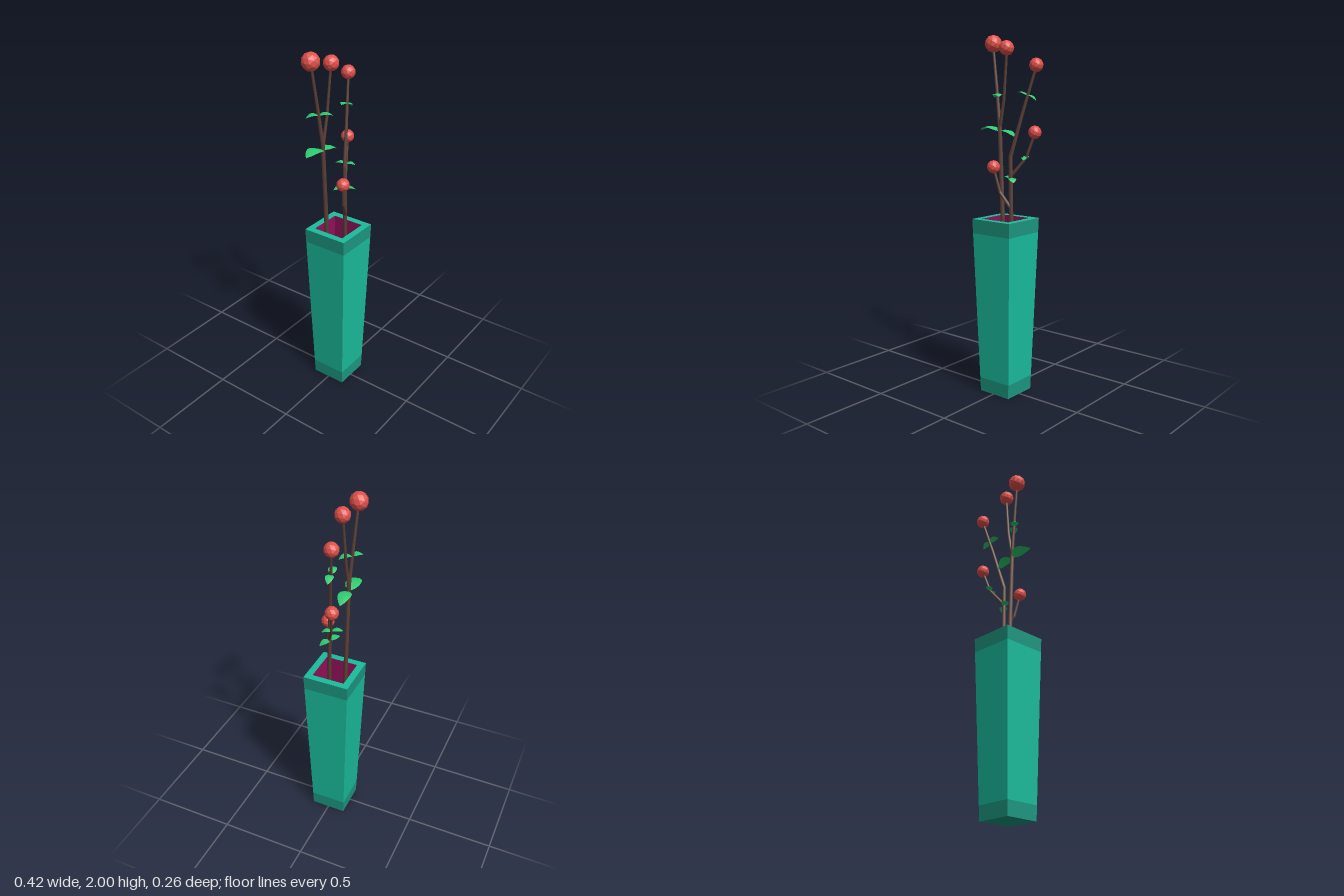
import * as THREE from 'three';

const V = (p) => new THREE.Vector3(...p);
const mat = (name, color, extra = {}) =>
  Object.assign(new THREE.MeshStandardMaterial({ color, ...extra }), { name });

export function createModel() {
  const model = new THREE.Group();
  model.name = 'vaseWithBranches';
  const teal = mat('teal', 0x1abc9c, { flatShading: true });
  const darkTeal = mat('darkTeal', 0x1c9780, { flatShading: true });
  const purple = mat('purple', 0x8e1058, { flatShading: true, side: THREE.DoubleSide });
  const bark = mat('bark', 0x5d4037);
  const leafGreen = mat('leafGreen', 0x2ecc71, { side: THREE.DoubleSide });
  const red = mat('red', 0xe0504a, { flatShading: true });

  const add = (parent, name, geo, material) => {
    const mesh = new THREE.Mesh(geo, material);
    mesh.name = name;
    parent.add(mesh);
    return mesh;
  };

  // Tapered square vase
  const vase = new THREE.Group();
  vase.name = 'vase';
  vase.position.x = 0.008;
  model.add(vase);
  const half = (y) => 0.101 + 0.03 * y;
  const squareTube = (name, y0, y1, h0, h1, material) => {
    const geo = new THREE.CylinderGeometry(h1 * Math.SQRT2, h0 * Math.SQRT2, y1 - y0, 4, 1, true);
    add(vase, name, geo.rotateY(Math.PI / 4).translate(0, (y0 + y1) / 2, 0), material);
  };
  const plate = (name, y, h, tilt, material) =>
    add(vase, name, new THREE.PlaneGeometry(2 * h, 2 * h).rotateX(tilt).translate(0, y, 0), material);
  squareTube('baseBand', 0, 0.08, half(0), half(0.08), darkTeal);
  squareTube('body', 0.08, 0.92, half(0.08), half(0.92), teal);
  squareTube('topBand', 0.92, 1, half(0.92), half(1), darkTeal);
  squareTube('innerWall', 0.1, 1, 0.072, 0.093, purple);
  plate('innerFloor', 0.1, 0.072, -Math.PI / 2, purple);
  plate('underside', 0, half(0), Math.PI / 2, darkTeal);
  const rim = new THREE.RingGeometry(0.093 * Math.SQRT2, half(1) * Math.SQRT2, 4, 1, Math.PI / 4);
  add(vase, 'rim', rim.rotateX(-Math.PI / 2).translate(0, 1, 0), teal);

  // Stems: tapered cylinders along a path, radius shrinking from r0 to r1
  const stem = (name, r0, r1, points) => {
    const group = new THREE.Group();
    group.name = name;
    model.add(group);
    const n = points.length - 1;
    for (let i = 0; i < n; i++) {
      const a = V(points[i]), b = V(points[i + 1]);
      const dir = b.clone().sub(a);
      const r = (k) => r0 + (r1 - r0) * k / n;
      const geo = new THREE.CylinderGeometry(r(i + 1), r(i), dir.length() + 0.004, 6);
      const seg = add(group, 'stemSegment', geo, bark);
      seg.position.copy(a).add(b).multiplyScalar(0.5);
      seg.quaternion.setFromUnitVectors(new THREE.Vector3(0, 1, 0), dir.normalize());
    }
  };
  stem('leftStem', 0.014, 0.012, [[-0.035, 0.1, -0.035], [-0.047, 1, -0.04], [-0.07, 1.5, -0.043]]);
  stem('leftTallTwig', 0.011, 0.007, [[-0.07, 1.5, -0.043], [-0.1, 1.72, -0.053], [-0.133, 1.94, -0.063]]);
  stem('leftInnerTwig', 0.01, 0.007, [[-0.07, 1.49, -0.043], [-0.038, 1.65, -0.04], [-0.012, 1.91, -0.033]]);
  stem('rightStem', 0.014, 0.011, [[0.06, 0.1, 0.01], [0.056, 1, 0.012], [0.05, 1.35, 0.01]]);
  stem('rightTallTwig', 0.011, 0.007, [[0.05, 1.345, 0.01], [0.11, 1.59, -0.022], [0.17, 1.82, -0.055]]);
  stem('rightSideTwig', 0.009, 0.007, [[0.055, 1.24, 0.01], [0.125, 1.34, -0.032], [0.165, 1.47, -0.053]]);
  stem('frontTwig', 0.011, 0.007, [[0.056, 1.06, 0.012], [0, 1.15, 0.04], [-0.03, 1.28, 0.057]]);

  // Faceted round blossoms
  [
    [-0.133, 1.952, -0.065, 0.049], [-0.012, 1.924, -0.031, 0.042], [0.17, 1.83, -0.056, 0.039],
    [0.165, 1.477, -0.054, 0.037], [-0.03, 1.288, 0.058, 0.037],
  ].forEach(([x, y, z, r]) =>
    add(model, 'blossom', new THREE.IcosahedronGeometry(r, 1), red).position.set(x, y, z));

  // Leaves: arched strips whose width swells and closes to a point
  const leaf = (base, tip, width, arch) => {
    const a = V(base), b = V(tip);
    const dir = b.clone().sub(a);
    const side = new THREE.Vector3(dir.z, 0, -dir.x).normalize();
    const geo = new THREE.PlaneGeometry(1, 1, 2, 7);
    const pos = geo.attributes.position;
    for (let i = 0; i < pos.count; i++) {
      const s = pos.getX(i) * 2, t = 0.5 - pos.getY(i);
      const w = Math.pow(Math.sin(Math.PI * Math.pow(t, 0.85)), 0.8) || 0;
      const p = a.clone().addScaledVector(dir, t).addScaledVector(side, s * w * width / 2);
      p.y += arch * Math.sin(Math.PI * t) - Math.abs(s) * w * width * 0.08;
      pos.setXYZ(i, p.x, p.y, p.z);
    }
    geo.computeVertexNormals();
    add(model, 'leaf', geo, leafGreen);
  };
  const leafPair = (base, tipA, tipB, width, arch) =>
    [tipA, tipB].forEach((tip) => leaf(base, tip, width, arch));
  leaf([-0.07, 1.475, -0.043], [-0.212, 1.478, -0.043], 0.084, 0.028);
  leaf([-0.068, 1.475, -0.043], [0.043, 1.445, -0.043], 0.072, 0.024);
  leafPair([-0.093, 1.67, -0.05], [-0.147, 1.66, -0.093], [-0.038, 1.664, 0.002], 0.046, 0.016);
  leafPair([0.128, 1.672, -0.033], [0.068, 1.685, -0.026], [0.182, 1.645, -0.04], 0.044, 0.014);
  leafPair([0.12, 1.337, -0.03], [0.093, 1.335, -0.086], [0.142, 1.33, 0.016], 0.036, 0.012);
  leafPair([0.052, 1.225, 0.01], [0.102, 1.208, 0.048], [-0.008, 1.225, -0.022], 0.046, 0.014);

  return model;
}
